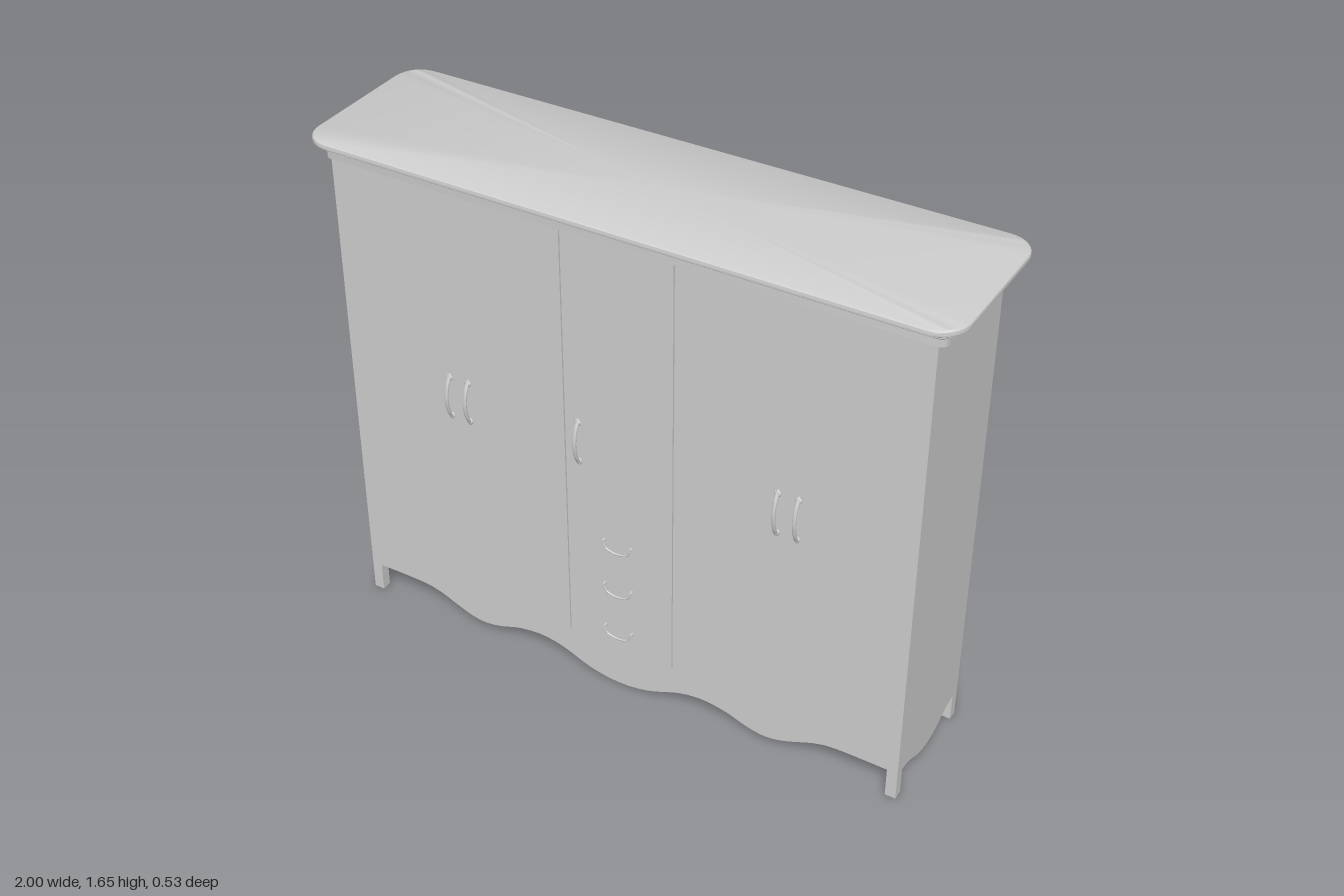
import * as THREE from 'three';
import { toCreasedNormals } from 'three/addons/utils/BufferGeometryUtils.js';

const grey = new THREE.MeshStandardMaterial({ color: 0xcccccc });
const CX = -0.005, HW = 0.935, HD = 0.208, TOP = 1.585, THICK = 0.008;

function add(parent, name, geometry, x = 0, y = 0, z = 0) {
  const mesh = new THREE.Mesh(geometry, grey);
  mesh.name = name;
  mesh.position.set(x, y, z);
  parent.add(mesh);
  return mesh;
}

// Upright panel with a mirrored scalloped lower edge; half runs from the outer end to the middle
function panelGeometry(halfWidth, half) {
  const left = half.map(([x, y]) => new THREE.Vector2(-x, y));
  const right = half.slice(0, -1).reverse().map(([x, y]) => new THREE.Vector2(x, y));
  const shape = new THREE.Shape();
  shape.moveTo(halfWidth, TOP);
  shape.lineTo(-halfWidth, TOP);
  shape.lineTo(-halfWidth, half[0][1]);
  shape.lineTo(left[0].x, left[0].y);
  shape.splineThru([...left.slice(1), ...right]);
  shape.lineTo(halfWidth, half[0][1]);
  return new THREE.ExtrudeGeometry(shape, { depth: THICK, bevelEnabled: false, curveSegments: 6 });
}

// Outline of a rounded rectangle in plan
function roundedRing(hw, hd, r, y, steps = 8) {
  const ring = [];
  for (let q = 0; q < 4; q++) {
    const sx = q === 0 || q === 3 ? 1 : -1, sz = q < 2 ? 1 : -1;
    for (let i = 0; i <= steps; i++) {
      const a = (q + i / steps) * Math.PI / 2;
      ring.push([sx * (hw - r) + r * Math.cos(a), y, sz * (hd - r) + r * Math.sin(a)]);
    }
  }
  return ring;
}

// Cornice: moulding profile [outward offset, height] swept round the plan
function corniceGeometry() {
  const profile = [[-0.03, 1.582], [0, 1.582], [0, 1.612], [0.014, 1.614], [0.019, 1.618],
    [0.02, 1.628], [0.026, 1.632], [0.038, 1.633], [0.044, 1.637], [0.045, 1.643], [0.043, 1.649], [0.036, 1.653]];
  const rings = profile.map(([o, y]) => roundedRing(0.955 + o, 0.222 + o, Math.max(0.005, 0.025 + o * 1.4), y));
  const n = rings[0].length, index = [];
  for (let i = 0; i < rings.length - 1; i++) {
    for (let j = 0; j < n; j++) {
      const a = i * n + j, b = i * n + (j + 1) % n;
      index.push(a, a + n, b, b, a + n, b + n);
    }
  }
  const positions = [...rings.flat(), [0, 1.655, 0]];
  const last = (rings.length - 1) * n;
  for (let j = 0; j < n; j++) index.push(last + j, positions.length - 1, last + (j + 1) % n);
  const g = new THREE.BufferGeometry();
  g.setAttribute('position', new THREE.Float32BufferAttribute(positions.flat(), 3));
  g.setIndex(index);
  return toCreasedNormals(g, 0.6);
}

function tube(points, radius) {
  const curve = new THREE.CatmullRomCurve3(points.map(p => new THREE.Vector3(...p)));
  return new THREE.TubeGeometry(curve, 24, radius, 8);
}

// Bowed upright pull with flared ends
function doorHandle() {
  const g = new THREE.Group();
  g.name = 'doorHandle';
  const grip = add(g, 'grip', tube([[0, -0.07, 0.002], [0, -0.045, 0.014], [0, 0, 0.022],
    [0, 0.045, 0.014], [0, 0.07, 0.002]], 0.005));
  grip.scale.x = 1.3;
  for (const s of [-1, 1]) {
    add(g, 'endPlate', new THREE.SphereGeometry(0.011, 14, 10), 0, s * 0.067, 0).scale.z = 0.5;
    add(g, 'tip', new THREE.SphereGeometry(0.006, 10, 8), 0, s * 0.075, 0).scale.z = 0.6;
  }
  return g;
}

// Hanging pull shaped like a shallow U
function drawerHandle() {
  const g = new THREE.Group();
  g.name = 'drawerHandle';
  add(g, 'bail', tube([[-0.046, 0.014, 0.008], [-0.036, -0.008, 0.01], [-0.018, -0.016, 0.01], [0, -0.018, 0.01],
    [0.018, -0.016, 0.01], [0.036, -0.008, 0.01], [0.046, 0.014, 0.008]], 0.0035));
  for (const s of [-1, 1]) {
    const post = add(g, 'post', new THREE.CylinderGeometry(0.005, 0.005, 0.014, 10), s * 0.046, 0.014, 0.006);
    post.rotation.x = Math.PI / 2;
  }
  return g;
}

export function createModel() {
  const model = new THREE.Group();
  model.name = 'wardrobe';

  // Carcass and scalloped panels
  add(model, 'carcass', new THREE.BoxGeometry(HW * 2 - 0.004, TOP - 0.1, HD * 2 - 0.004), CX, (TOP + 0.1) / 2, 0);
  const longPanel = panelGeometry(HW, [[0.9, 0.1], [0.74, 0.1], [0.67, 0.088], [0.6, 0.06], [0.55, 0.042], [0.5, 0.035],
    [0.44, 0.045], [0.37, 0.069], [0.29, 0.08], [0.21, 0.068], [0.1, 0.026], [0, 0.012]]);
  const sidePanel = panelGeometry(HD, [[0.178, 0.092], [0.15, 0.09], [0.11, 0.078], [0.06, 0.055], [0, 0.047]]);
  add(model, 'frontPanel', longPanel, CX, 0, HD - THICK);
  add(model, 'backPanel', longPanel, CX, 0, -HD);
  for (const s of [-1, 1]) {
    const side = add(model, s > 0 ? 'leftPanel' : 'rightPanel', sidePanel, CX + s * (HW - THICK), 0, 0);
    side.rotation.y = s * Math.PI / 2;
    // Square legs
    for (const t of [-1, 1]) {
      add(model, t > 0 ? 'frontLeg' : 'backLeg', new THREE.BoxGeometry(0.034, 0.12, 0.032),
        CX + s * (HW - 0.017), 0.06, t * (HD - 0.016));
    }
    // Raised strips beside the middle section
    add(model, 'dividerStrip', new THREE.BoxGeometry(0.014, TOP - 0.16, 0.01), CX + s * 0.179, (TOP + 0.16) / 2, HD + 0.001);
  }
  add(model, 'cornice', corniceGeometry());

  // Handles
  for (const x of [-0.578, -0.513, -0.134, 0.508, 0.572]) {
    const h = doorHandle();
    h.position.set(x, 0.885, HD);
    model.add(h);
  }
  for (const y of [0.548, 0.383, 0.218]) {
    const h = drawerHandle();
    h.position.set(CX, y, HD);
    model.add(h);
  }
  return model;
}
